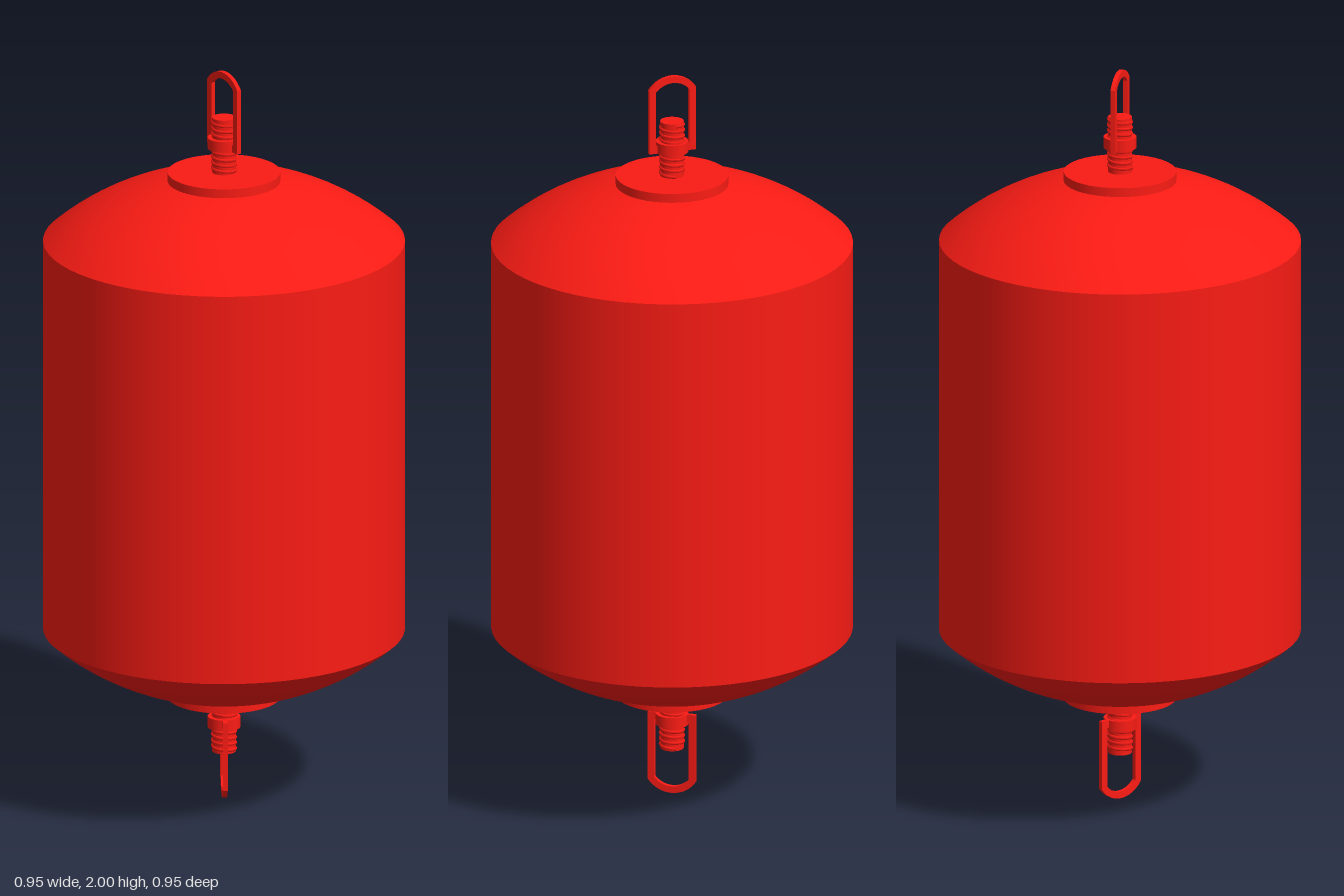
import * as THREE from 'three';

const red = new THREE.MeshStandardMaterial({ color: 0xfa1b14 });
const BODY_R = 0.475, SHOULDER = 0.535, FLANGE_R = 0.148;
const DOME_R = Math.hypot(BODY_R, SHOULDER);

function add(parent, name, geometry, y = 0) {
  const mesh = new THREE.Mesh(geometry, red);
  mesh.name = name;
  mesh.position.y = y;
  parent.add(mesh);
  return mesh;
}

// Flat-sided outline closed by a shallow circular arch
function archOutline(path, half, base, centre, radius) {
  const a = Math.acos(half / radius);
  path.moveTo(-half, base);
  path.lineTo(half, base);
  path.absarc(0, centre, radius, a, Math.PI - a, false);
  path.closePath();
  return path;
}

// Raised screw thread wound round the stud
function threadGeometry(radius, y0, y1, turns) {
  const points = [];
  const steps = turns * 12;
  for (let i = 0; i <= steps; i++) {
    const a = (i / steps) * turns * Math.PI * 2;
    points.push(new THREE.Vector3(Math.cos(a) * radius, y0 + ((y1 - y0) * i) / steps, Math.sin(a) * radius));
  }
  return new THREE.TubeGeometry(new THREE.CatmullRomCurve3(points), turns * 20, 0.005, 5);
}

// One end of the float, measured upward from the body's middle
function endFitting(name, nutY, loopTurn) {
  const end = new THREE.Group();
  end.name = name;

  // Spherical dome from the shoulder to the flange
  const a0 = Math.asin(BODY_R / DOME_R), a1 = Math.asin(0.13 / DOME_R);
  const profile = [];
  for (let i = 0; i <= 12; i++) {
    const a = a0 + ((a1 - a0) * i) / 12;
    profile.push(new THREE.Vector2(Math.sin(a) * DOME_R, Math.cos(a) * DOME_R));
  }
  add(end, 'dome', new THREE.LatheGeometry(profile, 64));
  add(end, 'flange', new THREE.CylinderGeometry(FLANGE_R, FLANGE_R, 0.03, 64), 0.709);

  // Threaded stud and its nut
  add(end, 'stud', new THREE.CylinderGeometry(0.031, 0.031, 0.155, 32), 0.7975);
  add(end, 'thread', threadGeometry(0.03, 0.728, 0.869, 9));
  add(end, 'nut', new THREE.CylinderGeometry(0.043, 0.043, 0.03, 32), nutY + 0.015);

  // Flat lifting loop, standing in the z-y plane before its turn
  const shape = archOutline(new THREE.Shape(), 0.065, nutY, 0.922, 0.078);
  shape.holes.push(archOutline(new THREE.Path(), 0.047, nutY + 0.02, 0.922, 0.06));
  const geometry = new THREE.ExtrudeGeometry(shape, { depth: 0.012, bevelEnabled: false, curveSegments: 16 });
  geometry.translate(0, 0, -0.006).rotateY(Math.PI / 2);
  add(end, 'liftingLoop', geometry).rotation.y = loopTurn;
  return end;
}

export function createModel() {
  const model = new THREE.Group();
  model.name = 'mooringBuoy';

  add(model, 'body', new THREE.CylinderGeometry(BODY_R, BODY_R, SHOULDER * 2, 64, 1, true), 1);

  const top = endFitting('topFitting', 0.79, 0);
  top.position.y = 1;
  const bottom = endFitting('bottomFitting', 0.778, THREE.MathUtils.degToRad(34));
  bottom.position.y = 1;
  bottom.rotation.x = Math.PI;
  model.add(top, bottom);
  return model;
}
